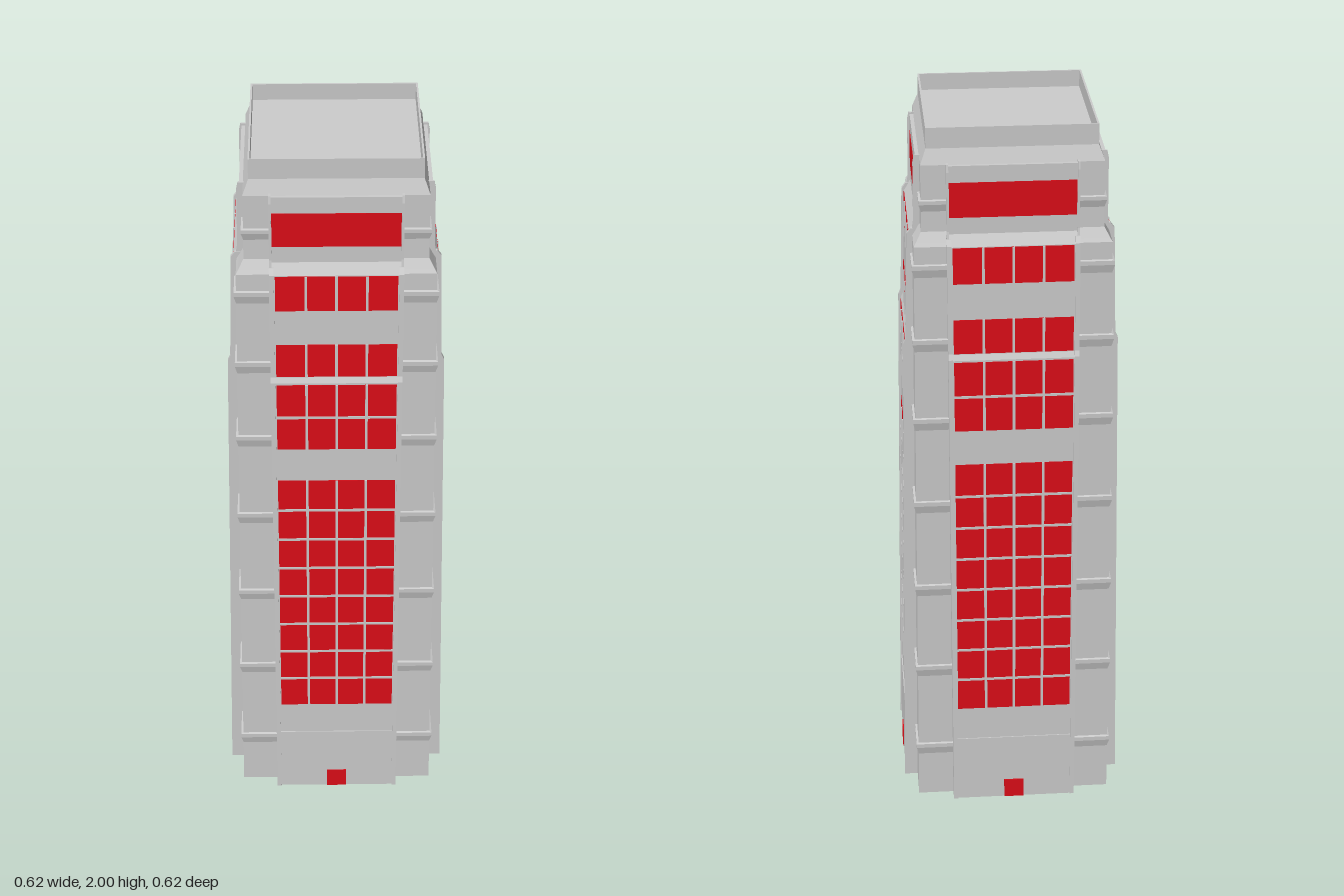
import * as THREE from 'three';

const grey = new THREE.MeshStandardMaterial({ color: 0xcccccc, flatShading: true, side: THREE.DoubleSide });
const red = new THREE.MeshStandardMaterial({ color: 0xdd0d18, flatShading: true, side: THREE.DoubleSide });

// Face line of a bay as [z, y], in three stepped, tapering stages
const FACE = [[0.303, 0], [0.281, 1.375], [0.274, 1.39], [0.266, 1.69], [0.248, 1.72], [0.247, 1.905]];

function faceZ(y) {
  for (let i = 1; i < FACE.length; i++) {
    const [z0, y0] = FACE[i - 1], [z1, y1] = FACE[i];
    if (y <= y1) return z0 + (z1 - z0) * (y - y0) / (y1 - y0);
  }
  return FACE[FACE.length - 1][0];
}

function add(group, name, geometry, material = grey) {
  const mesh = new THREE.Mesh(geometry, material);
  mesh.name = name;
  group.add(mesh);
  return mesh;
}

// Square tower shell: profile of [half width, y]
function squareShell(group, name, profile) {
  const pts = profile.map(([h, y]) => new THREE.Vector2(h * Math.SQRT2, y));
  add(group, name, new THREE.LatheGeometry(pts, 4, Math.PI / 4));
}

// Box that leans with the bay face, standing proud of it by `out`
function slab(group, name, x0, x1, y0, y1, out, material = grey, depth = 0.008) {
  const geo = new THREE.BoxGeometry(x1 - x0, y1 - y0, 1);
  geo.translate((x0 + x1) / 2, (y0 + y1) / 2, 0);
  const p = geo.attributes.position;
  for (let i = 0; i < p.count; i++) {
    p.setZ(i, faceZ(p.getY(i)) + (p.getZ(i) > 0 ? out : out - depth));
  }
  geo.computeVertexNormals();
  add(group, name, geo, material);
}

// Side profile [z, y] extruded across x0..x1
function extrudeAcross(group, name, profile, x0, x1) {
  const shape = new THREE.Shape(profile.map(([z, y]) => new THREE.Vector2(-z, y)));
  const geo = new THREE.ExtrudeGeometry(shape, { depth: x1 - x0, bevelEnabled: false });
  geo.rotateY(Math.PI / 2);
  geo.translate(x0, 0, 0);
  add(group, name, geo);
}

// Block of panes with mullions and transoms
function windowBlock(group, y0, y1, rows) {
  const w = 0.158, bar = 0.0035;
  slab(group, 'windowPanes', -w, w, y0, y1, 0.001, red);
  for (let c = 1; c < 4; c++) {
    const x = -w + 2 * w * c / 4;
    slab(group, 'mullion', x - bar, x + bar, y0, y1, 0.004);
  }
  for (let r = 1; r < rows; r++) {
    const y = y0 + (y1 - y0) * r / rows;
    slab(group, 'transom', -w, w, y - bar, y + bar, 0.003);
  }
}

function makeBay() {
  const bay = new THREE.Group();
  extrudeAcross(bay, 'bayWall', [[0.268, 0], ...FACE, [0.225, 1.905]], -0.167, 0.167);
  slab(bay, 'basePanel', -0.167, 0.167, 0, 0.2, 0.003);

  // Glazing
  windowBlock(bay, 0.3, 1.07, 8);
  windowBlock(bay, 1.17, 1.37, 2);
  windowBlock(bay, 1.392, 1.488, 1);
  windowBlock(bay, 1.588, 1.688, 1);
  slab(bay, 'topWindow', -0.165, 0.165, 1.765, 1.86, 0.001, red);

  // Side fins framing the bay
  const lowFin = [[0.268, 0], [0.309, 0], [0.288, 1.38], [0.281, 1.395], [0.273, 1.695], [0.262, 1.71], [0.24, 1.71]];
  const topFin = [[0.23, 1.7], [0.26, 1.7], [0.255, 1.73], [0.254, 1.89], [0.25, 1.91], [0.225, 1.91]];
  for (const s of [-1, 1]) {
    const span = (a, b) => (s > 0 ? [a, b] : [-b, -a]);
    extrudeAcross(bay, 'lowerFin', lowFin, ...span(0.161, 0.173));
    extrudeAcross(bay, 'upperFin', topFin, ...span(0.166, 0.172));
  }

  // Door, reaching through the wall
  const door = add(bay, 'door', new THREE.BoxGeometry(0.056, 0.057, 0.045), red);
  door.position.set(0, 0.0285, 0.286);
  return bay;
}

export function createModel() {
  const tower = new THREE.Group();
  tower.name = 'tower';

  // Main shaft: tapering, with a flared lip at each ledge
  const half = (y) => 0.272 - 0.014 * y / 1.7;
  const shaft = [[half(0), 0]];
  for (const y of [0.17, 0.43, 0.69, 0.95, 1.2, 1.43, 1.64]) {
    const h = half(y);
    shaft.push([h, y - 0.035], [h + 0.006, y - 0.012], [h + 0.006, y], [h, y + 0.002]);
  }
  shaft.push([half(1.69), 1.69], [0.252, 1.7], [0.238, 1.725]);
  // Upper storey, sloping shoulder, parapet and sunken roof
  shaft.push([0.237, 1.78], [0.243, 1.8], [0.243, 1.81], [0.237, 1.812], [0.237, 1.905],
    [0.222, 1.945], [0.222, 2], [0.217, 2], [0.217, 1.955], [0, 1.955]);
  squareShell(tower, 'shaft', shaft);

  // The same bay on all four sides
  for (let k = 0; k < 4; k++) {
    const bay = makeBay();
    bay.name = ['frontBay', 'leftBay', 'backBay', 'rightBay'][k];
    bay.rotation.y = k * Math.PI / 2;
    tower.add(bay);
  }
  return tower;
}
